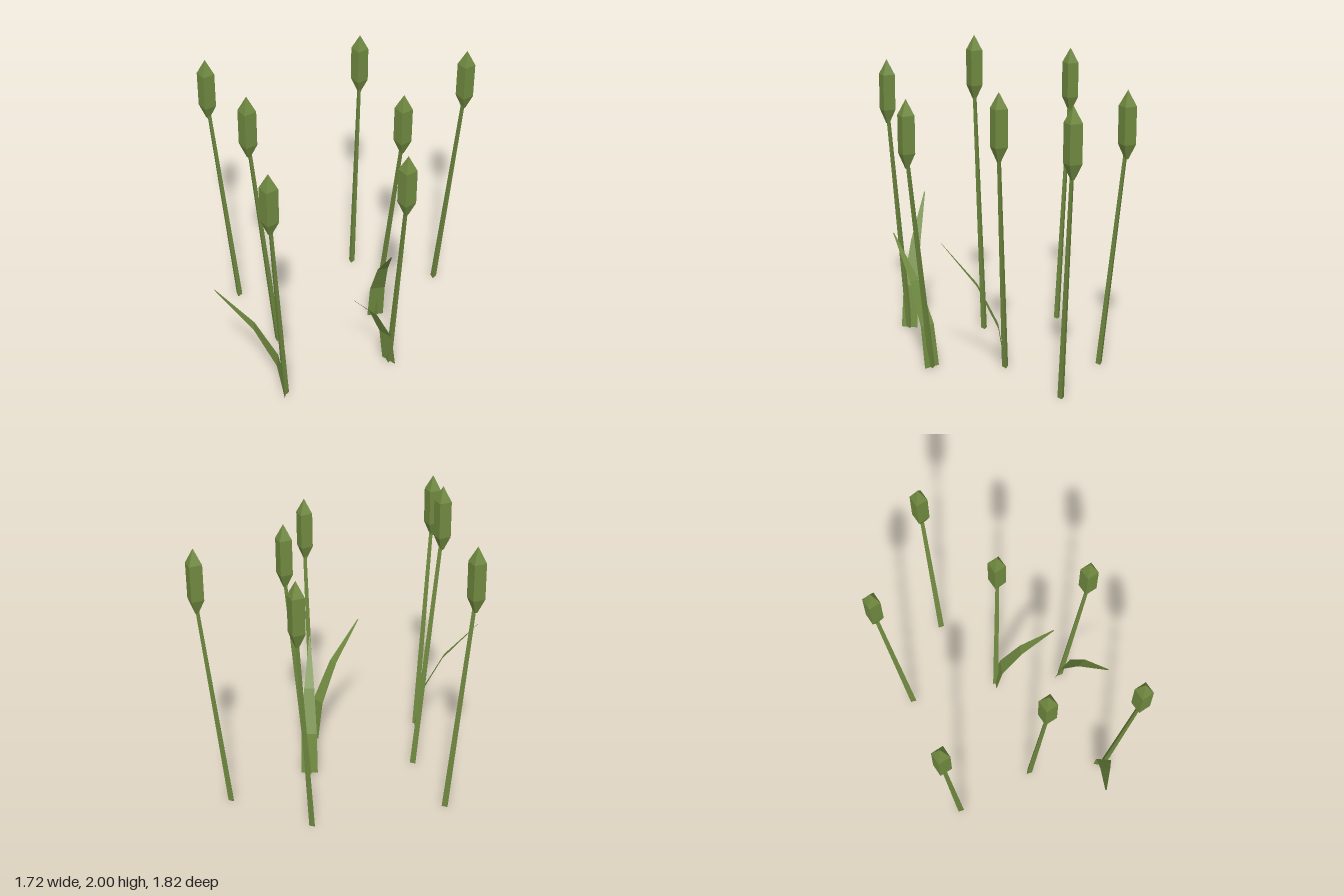
import * as THREE from 'three';

export function createModel() {
  const model = new THREE.Group();
  model.name = 'reeds';
  const green = new THREE.MeshStandardMaterial({ color: 0x708a40, flatShading: true });
  green.name = 'reedGreen';
  const leafGreen = new THREE.MeshStandardMaterial({ color: 0x708a40, flatShading: true, side: THREE.DoubleSide });
  leafGreen.name = 'leafGreen';

  function add(parent, name, geometry, material) {
    const mesh = new THREE.Mesh(geometry, material);
    mesh.name = name;
    parent.add(mesh);
    return mesh;
  }

  // Four-sided seed head, pointed at both ends, with its tip at y = 0
  const headGeometry = new THREE.LatheGeometry([
    new THREE.Vector2(0.012, -0.43),
    new THREE.Vector2(0.057, -0.335),
    new THREE.Vector2(0.057, -0.1),
    new THREE.Vector2(0, 0),
  ], 4);

  // Three-sided tapering stem, sheared so that it leans from base to head
  function stemGeometry(base, top, height) {
    const g = new THREE.CylinderGeometry(0.014, 0.023, height, 3);
    g.translate(0, height / 2, 0);
    const p = g.attributes.position;
    for (let i = 0; i < p.count; i++) {
      const t = p.getY(i) / height;
      p.setX(i, p.getX(i) + base[0] + (top[0] - base[0]) * t);
      p.setZ(i, p.getZ(i) + base[1] + (top[1] - base[1]) * t);
    }
    g.computeVertexNormals();
    return g;
  }

  // Flat blade bending outward with the square of its height
  function leafGeometry(base, tip, height) {
    const halfWidths = [0.055, 0.051, 0.034, 0.004];
    const dx = tip[0] - base[0], dz = tip[1] - base[1], len = Math.hypot(dx, dz);
    const g = new THREE.PlaneGeometry(1, 1, 1, 3);
    const p = g.attributes.position;
    for (let i = 0; i < p.count; i++) {
      const row = 3 - Math.floor(i / 2), t = row / 3;
      const w = (i % 2 ? 1 : -1) * halfWidths[row];
      p.setXYZ(i, base[0] + dx * t * t + w * dz / len, height * t, base[1] + dz * t * t - w * dx / len);
    }
    g.computeVertexNormals();
    return g;
  }

  // Each reed: base [x, z], head [x, z], tip height, optional leaf
  const reeds = [
    { base: [-0.65, -0.203], head: [-0.805, -0.23], top: 1.885 },
    { base: [-0.29, 0.21], head: [-0.415, 0.32], top: 2.0 },
    { base: [-0.14, 0.703], head: [-0.18, 0.85], top: 1.845, leaf: { tip: [-0.56, 0.75], height: 0.855 } },
    { base: [0.075, -0.705], head: [0.087, -0.855], top: 1.795 },
    { base: [0.325, -0.155], head: [0.465, -0.16], top: 1.805, leaf: { tip: [0.465, 0.222], height: 0.828 } },
    { base: [0.478, 0.287], head: [0.562, 0.4], top: 1.745, leaf: { tip: [0.27, 0.627], height: 0.8 } },
    { base: [0.678, -0.632], head: [0.803, -0.72], top: 1.825 },
  ];
  for (const { base, head, top, leaf } of reeds) {
    const reed = new THREE.Group();
    reed.name = 'reed';
    add(reed, 'stem', stemGeometry(base, head, top - 0.34), green);
    add(reed, 'seedHead', headGeometry, green).position.set(head[0], top, head[1]);
    if (leaf) add(reed, 'leaf', leafGeometry(base, leaf.tip, leaf.height), leafGreen);
    model.add(reed);
  }
  return model;
}
